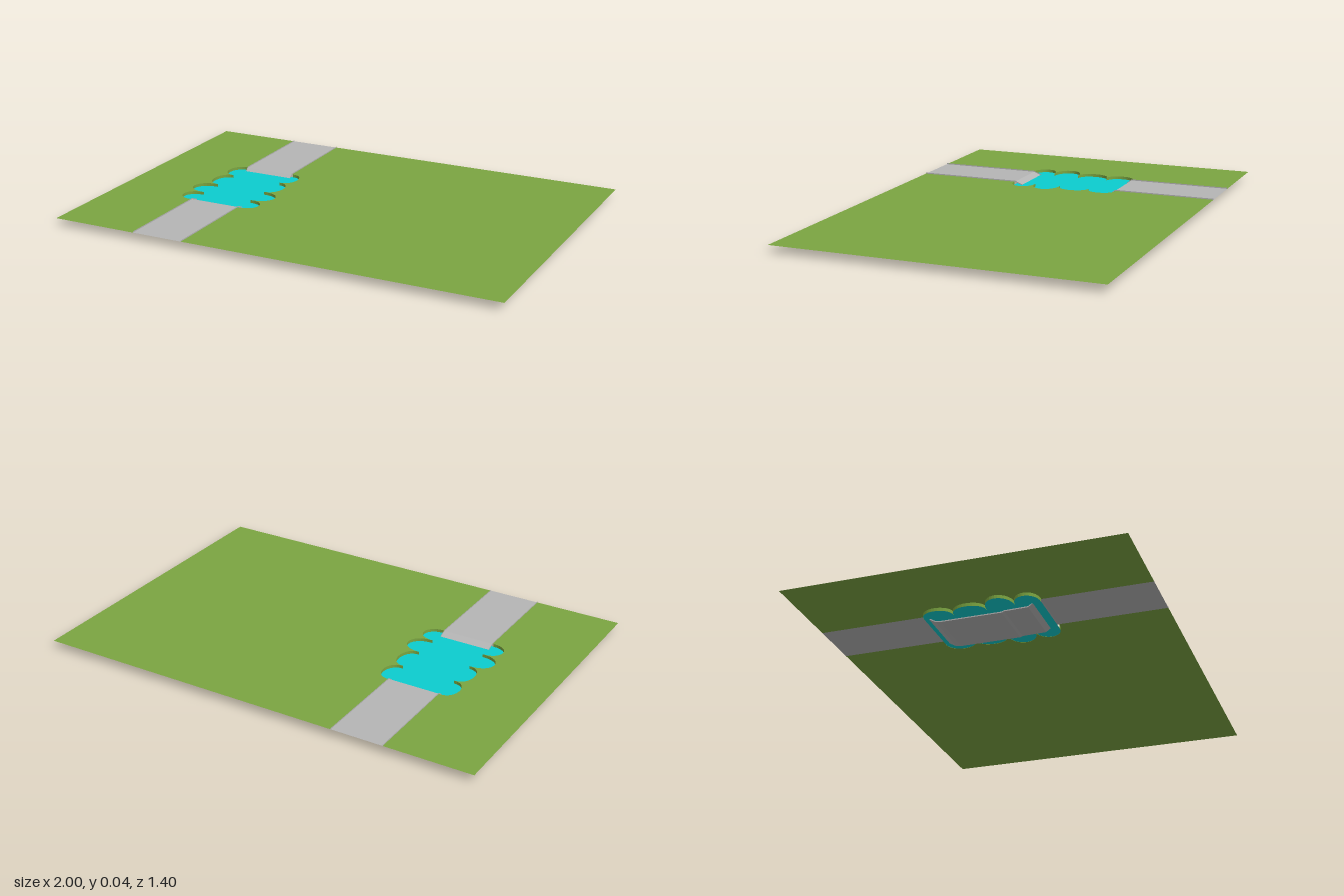
import * as THREE from 'three';

const GROUND_Y = 0.033, WATER_Y = 0.02, KERB = 0.005;
const ROAD_X = -0.5, HALF = 0.115;

function material(name, color) {
  const m = new THREE.MeshStandardMaterial({ color, side: THREE.DoubleSide });
  m.name = name;
  return m;
}

// Shore of the ford: four rounded lobes, [zStart, zEnd, reach from road centre]
const LOBES = [[-0.247, -0.12, 0.176], [-0.12, 0.02, 0.176], [0.02, 0.14, 0.203], [0.14, 0.245, 0.188]];
function shore(side) {
  const pts = [];
  for (const [z0, z1, reach] of LOBES) {
    for (let i = 0; i <= 16; i++) {
      const a = Math.PI * i / 16;
      const out = HALF + 0.004 + (reach - HALF - 0.004) * Math.pow(Math.sin(a), 0.85);
      pts.push([ROAD_X + side * out, (z0 + z1) / 2 - Math.cos(a) * (z1 - z0) / 2]);
    }
  }
  return pts;
}

// Horizontal sheet from an outline of [x, z] points
function sheet(points, y) {
  const shape = new THREE.Shape(points.map(([x, z]) => new THREE.Vector2(x, -z)));
  return new THREE.ShapeGeometry(shape).rotateX(-Math.PI / 2).translate(0, y, 0);
}

// Strip of quads joining two rails of [x, y, z] points
function ribbon(a, b) {
  const pos = [];
  for (let i = 0; i < a.length - 1; i++) {
    pos.push(...a[i], ...b[i], ...b[i + 1], ...a[i], ...b[i + 1], ...a[i + 1]);
  }
  const g = new THREE.BufferGeometry();
  g.setAttribute('position', new THREE.Float32BufferAttribute(pos, 3));
  g.computeVertexNormals();
  return g;
}

export function createModel() {
  const group = new THREE.Group();
  const grass = material('grass', 0x7ba541);
  const asphalt = material('asphalt', 0xb5b5b5);
  const water = material('water', 0x0ccccf);
  const add = (name, geometry, mat) => {
    const mesh = new THREE.Mesh(geometry, mat);
    mesh.name = name;
    group.add(mesh);
  };

  // Grass fields and pool banks on both sides of the road
  for (const side of [-1, 1]) {
    const label = side > 0 ? 'left' : 'right';
    const inner = ROAD_X + side * HALF, edge = shore(side);
    add(label + 'Field', sheet(
      [[side, -0.7], [inner, -0.7], [inner, -0.247], ...edge, [inner, 0.245], [inner, 0.7], [side, 0.7]],
      GROUND_Y), grass);
    add(label + 'Bank', ribbon(
      edge.map(([x, z]) => [x, GROUND_Y, z]),
      edge.map(([x, z]) => [x, WATER_Y - 0.001, z])), grass);
  }

  // Water surface
  add('water', sheet([...shore(-1), ...shore(1).reverse()], WATER_Y), water);

  // Road dipping beneath the water, [z, y]
  const profile = [[-0.7, GROUND_Y], [-0.245, GROUND_Y], [-0.229, WATER_Y], [-0.2, 0.003], [-0.18, 0],
    [0.08, 0], [0.09, 0.004], [0.19, 0.006], [0.21, WATER_Y], [0.243, GROUND_Y], [0.7, GROUND_Y]];
  const rail = (side, lift) => profile.map(([z, y]) => [ROAD_X + side * HALF, y + lift, z]);
  add('road', ribbon(rail(-1, 0), rail(1, 0)).scale(1, 1, 1), asphalt);

  // Thin raised kerbs along the road edges
  for (const side of [-1, 1]) {
    add(side > 0 ? 'leftKerb' : 'rightKerb', ribbon(rail(side, KERB), rail(side, 0)), asphalt);
  }

  // Wind the faces upward where needed
  group.getObjectByName('road').geometry.index = null;
  return orientUp(group);
}

// Make the road sheet face upward
function orientUp(group) {
  const g = group.getObjectByName('road').geometry;
  if (g.attributes.normal.getY(0) < 0) {
    const n = g.attributes.position.count;
    g.setIndex(Array.from({ length: n }, (_, i) => (i % 3 === 1 ? i + 1 : i % 3 === 2 ? i - 1 : i)));
    for (let i = 0; i < n; i++) {
      const v = new THREE.Vector3().fromBufferAttribute(g.attributes.normal, i).negate();
      g.attributes.normal.setXYZ(i, v.x, v.y, v.z);
    }
  }
  return group;
}
